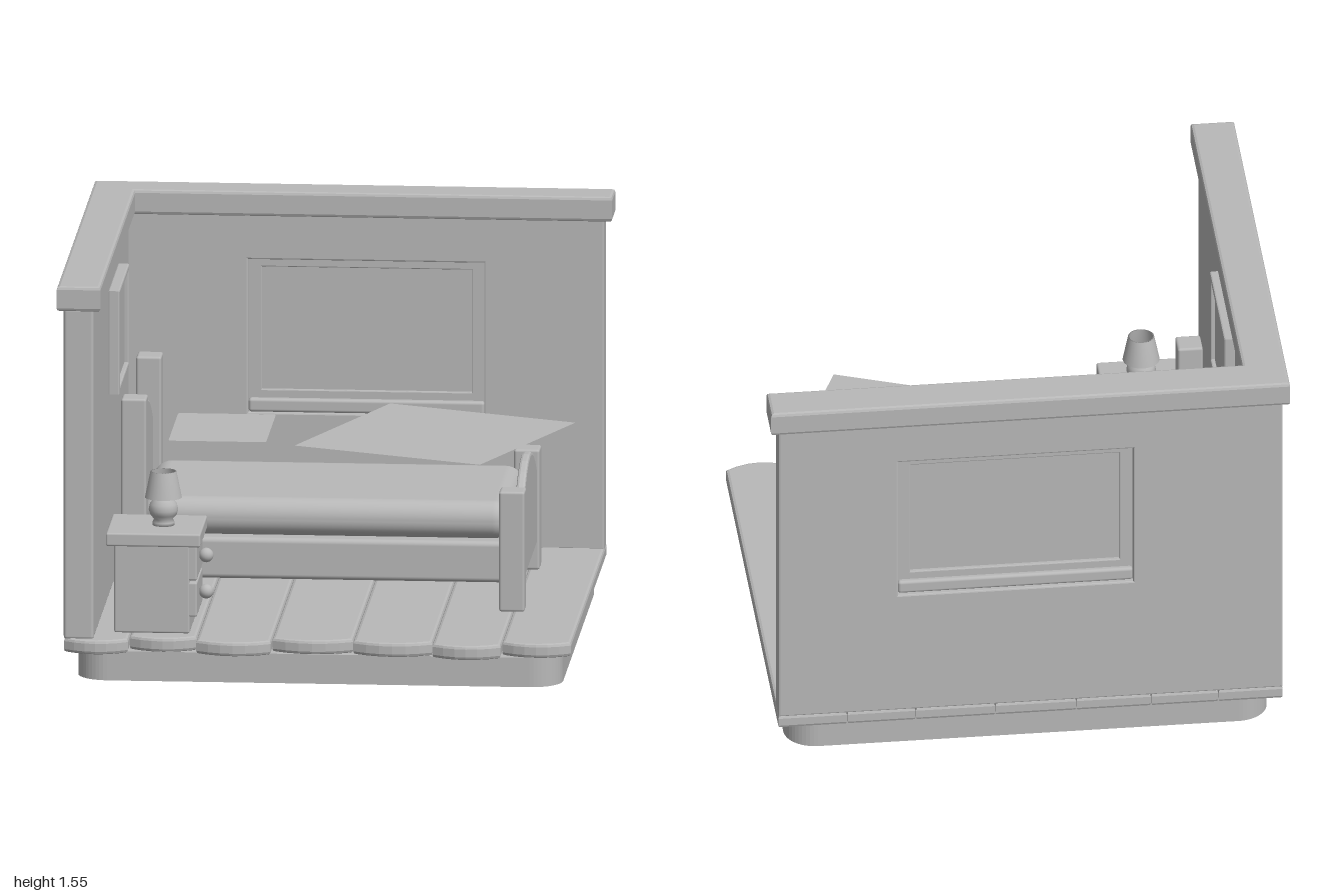
import * as THREE from 'three';
import { RoundedBoxGeometry } from 'three/addons/geometries/RoundedBoxGeometry.js';

export function createModel() {
  const room = new THREE.Group();
  room.name = 'bedroom';
  const grey = new THREE.MeshStandardMaterial({ color: 0xb8b8b8, side: THREE.DoubleSide });
  grey.name = 'plainGrey';

  const add = (name, geometry) => {
    const mesh = new THREE.Mesh(geometry, grey);
    mesh.name = name;
    room.add(mesh);
    return mesh;
  };
  // Soft-edged box given by its limits on each axis
  const box = (name, [x0, x1], [y0, y1], [z0, z1], r = 0.008, seg = 2) => {
    const mesh = add(name, new RoundedBoxGeometry(x1 - x0, y1 - y0, z1 - z0, seg, r));
    mesh.position.set((x0 + x1) / 2, (y0 + y1) / 2, (z0 + z1) / 2);
    return mesh;
  };
  const rect = (x0, x1, y0, y1, Type = THREE.Shape) => new Type(
    [[x0, y0], [x1, y0], [x1, y1], [x0, y1]].map((p) => new THREE.Vector2(...p)));
  // Extrusion that spans 0..depth, with a bevel kept inside the outline
  const slab = (shape, depth, b = 0.01, curveSegments = 8) => new THREE.ExtrudeGeometry(shape, {
    depth: depth - 2 * b, bevelEnabled: b > 0, bevelThickness: b, bevelSize: b,
    bevelOffset: -b, bevelSegments: 2, curveSegments,
  }).translate(0, 0, b);
  // Plan outlines use (x, -z)
  const flat = (shape, y, depth, b, segs) => slab(shape, depth, b, segs).rotateX(-Math.PI / 2).translate(0, y, 0);
  const roundRect = (x0, x1, y0, y1, r) => {
    const s = new THREE.Shape();
    s.moveTo(x0 + r, y0);
    s.lineTo(x1 - r, y0);
    s.absarc(x1 - r, y0 + r, r, -Math.PI / 2, 0);
    s.absarc(x1 - r, y1 - r, r, 0, Math.PI / 2);
    s.absarc(x0 + r, y1 - r, r, Math.PI / 2, Math.PI);
    s.absarc(x0 + r, y0 + r, r, Math.PI, Math.PI * 1.5);
    return s;
  };

  // Base and floor planks with bowed front ends
  add('base', flat(roundRect(-0.93, 0.93, -0.89, 0.9, 0.12), 0, 0.115, 0, 6));
  const seams = [-0.975, -0.727, -0.468, -0.18, 0.132, 0.438, 0.702, 0.968];
  const ends = [0.965, 0.9, 0.96, 0.9, 0.925, 0.96, 0.9];
  ends.forEach((end, i) => {
    const x0 = seams[i] + 0.001, x1 = seams[i + 1] - 0.001;
    const s = new THREE.Shape();
    s.moveTo(x0, 0.94);
    s.lineTo(x0, -(end - 0.045));
    s.quadraticCurveTo((x0 + x1) / 2, -(end + 0.045), x1, -(end - 0.045));
    s.lineTo(x1, 0.94);
    add('floorPlank', flat(s, 0.115, 0.055, 0.012, 6));
  });

  // Walls and the L-shaped cap
  box('sideWall', [-0.975, -0.86], [0.165, 1.46], [-0.935, 0.925], 0.012);
  const wall = rect(-0.975, 0.965, 0.165, 1.46);
  wall.holes.push(rect(-0.4, 0.505, 0.68, 1.28, THREE.Path));
  add('backWall', slab(wall, 0.105, 0.006).translate(0, 0, -0.937));
  const cap = new THREE.Shape([[-1, -0.945], [-0.832, -0.945], [-0.832, 0.808], [0.998, 0.808], [0.998, 0.97], [-1, 0.97]]
    .map((p) => new THREE.Vector2(...p)));
  add('wallCap', flat(cap, 1.453, 0.097, 0.012));

  // Window set in the wall
  const frame = rect(-0.405, 0.51, 0.675, 1.285);
  frame.holes.push(rect(-0.35, 0.455, 0.765, 1.245, THREE.Path));
  add('windowFrame', slab(frame, 0.04, 0.004).translate(0, 0, -0.905));
  box('windowPane', [-0.36, 0.465], [0.75, 1.255], [-0.889, -0.881], 0.002);
  box('windowSill', [-0.4, 0.505], [0.68, 0.733], [-0.925, -0.84], 0.012);

  // Framed picture on the side wall
  const border = rect(-0.165, 0.33, 0.96, 1.365);
  border.holes.push(rect(-0.14, 0.305, 0.985, 1.34, THREE.Path));
  add('pictureFrame', slab(border, 0.045, 0.006).rotateY(Math.PI / 2).translate(-0.863, 0, 0));
  box('picture', [-0.864, -0.835], [0.975, 1.35], [-0.315, 0.15], 0.002);

  // Bed posts and arched end boards
  for (const [z0, z1] of [[-0.53, -0.428], [0.232, 0.33]]) {
    box('headPost', [-0.8, -0.703], [0.17, 0.98], [z0, z1], 0.01);
    box('footPost', [0.65, 0.748], [0.17, 0.64], [z0, z1], 0.01);
  }
  const board = (name, x, side, rise) => {
    const s = new THREE.Shape();
    s.moveTo(-0.24, 0.27);
    s.lineTo(0.44, 0.27);
    s.lineTo(0.44, side);
    s.quadraticCurveTo(0.1, side + 2 * rise, -0.24, side);
    add(name, slab(s, 0.035, 0.01, 8).rotateY(Math.PI / 2).translate(x, 0, 0));
  };
  board('headboard', -0.77, 0.75, 0.13);
  board('footboard', 0.703, 0.565, 0.13);

  // Bedding
  box('bedFrame', [-0.72, 0.705], [0.275, 0.436], [-0.505, 0.298], 0.02, 3);
  box('mattress', [-0.73, 0.69], [0.432, 0.58], [-0.475, 0.275], 0.07, 5);
  const blanket = add('blanket', new THREE.PlaneGeometry(0.788, 0.838).rotateX(-Math.PI / 2));
  blanket.position.set(0.378, 0.785, -0.022);
  blanket.rotation.y = -0.376;
  add('pillow', new THREE.ShapeGeometry(roundRect(-0.63, -0.255, -0.172, 0.325, 0.015), 3)
    .rotateX(-Math.PI / 2).translate(0, 0.785, 0));

  // Bedside table with drawers facing the bed foot
  box('tableBody', [-0.79, -0.5], [0.17, 0.52], [0.527, 0.81]);
  box('tableTop', [-0.82, -0.457], [0.513, 0.565], [0.487, 0.837]);
  for (const [y0, y1] of [[0.235, 0.37], [0.377, 0.512]]) {
    box('drawer', [-0.51, -0.472], [y0, y1], [0.53, 0.808]);
    add('drawerKnob', new THREE.SphereGeometry(0.028, 16, 12)).position.set(-0.447, (y0 + y1) / 2 + 0.005, 0.672);
  }

  // Lamp
  const lathe = (name, pts) => add(name, new THREE.LatheGeometry(pts.map((p) => new THREE.Vector2(...p)), 24))
    .position.set(-0.611, 0.563, 0.67);
  lathe('lampBase', [[0, 0], [0.042, 0], [0.042, 0.014], [0.036, 0.026], [0.05, 0.042], [0.057, 0.062],
    [0.052, 0.085], [0.038, 0.105], [0.02, 0.12], [0.018, 0.145], [0, 0.15]]);
  lathe('lampShade', [[0.071, 0.11], [0.05, 0.212], [0.046, 0.212], [0.066, 0.11], [0.071, 0.11]]);

  return room;
}
